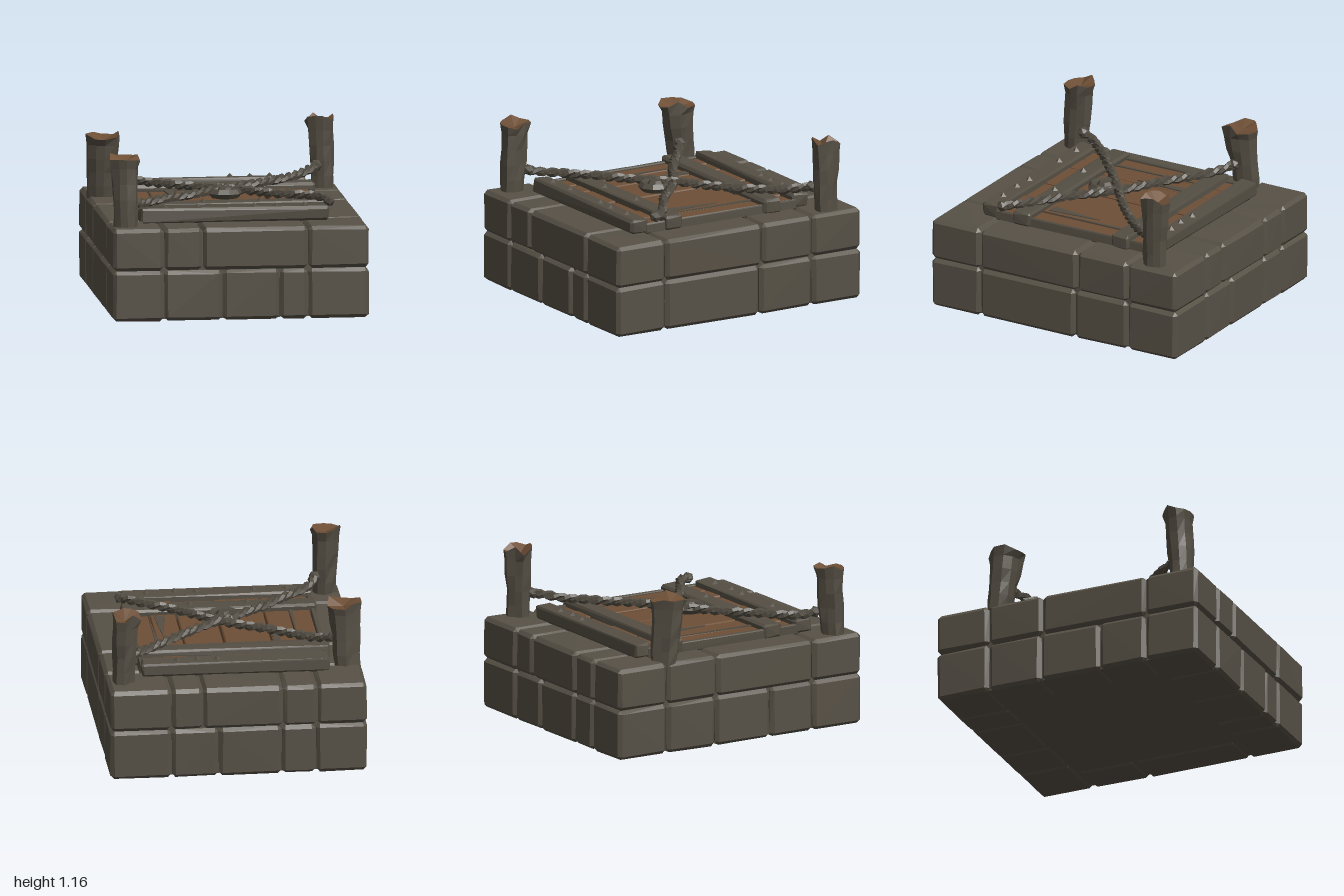
import * as THREE from 'three';
import { ConvexGeometry } from 'three/addons/geometries/ConvexGeometry.js';

// seeded random, 0..1
let seed = 7;
const rnd = () => {
  seed = (seed * 16807) % 2147483647;
  return seed / 2147483647;
};

const flat = (name, color) => {
  const m = new THREE.MeshStandardMaterial({ color, flatShading: true });
  m.name = name;
  return m;
};
const stone = flat('stone', 0x575146);
const greyWood = flat('weatheredWood', 0x544e43);
const brownWood = flat('brownWood', 0x6e4f36);
const rope = flat('rope', 0x504b41);

function add(parent, name, geometry, material, x = 0, y = 0, z = 0) {
  const mesh = new THREE.Mesh(geometry, material);
  mesh.name = name;
  mesh.position.set(x, y, z);
  parent.add(mesh);
  return mesh;
}

// chamfered block with slightly uneven corners, given by its extents
function block([x0, x1], [y0, y1], [z0, z1], c = 0.025, wobble = 0.006) {
  const lo = [x0, y0, z0], hi = [x1, y1, z1], points = [];
  for (let corner = 0; corner < 8; corner++) {
    for (let axis = 0; axis < 3; axis++) {
      const p = [0, 1, 2].map((i) => {
        const inset = (i === axis ? 0 : c) + rnd() * wobble;
        return corner & (1 << i) ? hi[i] - inset : lo[i] + inset;
      });
      points.push(new THREE.Vector3(...p));
    }
  }
  return new ConvexGeometry(points);
}

// two courses of stones around a filled core
function makeBase() {
  const base = new THREE.Group();
  base.name = 'stoneBase';
  add(base, 'core', new THREE.BoxGeometry(1.72, 0.61, 1.92), stone, 0, 0.32, 0);
  const courses = [
    { y: [0, 0.36], front: [-0.9, -0.54, -0.13, 0.27, 0.47, 0.9],
      back: [-0.9, -0.54, -0.3, 0.14, 0.47, 0.9],
      right: [-0.6, -0.17, 0.6], left: [-0.6, -0.2, 0.25, 0.6] },
    { y: [0.355, 0.655], front: [-0.9, -0.54, -0.27, 0.47, 0.9],
      back: [-0.9, -0.55, -0.31, 0.25, 0.47, 0.9],
      right: [-0.6, -0.19, 0.6], left: [-0.6, -0.19, 0.6] },
  ];
  for (const { y, front, back, right, left } of courses) {
    const spans = (list, fn) => list.slice(1).forEach((b, i) => fn([list[i], b]));
    spans(front, (x) => add(base, 'frontStone', block(x, y, [0.6, 1]), stone));
    spans(back, (x) => add(base, 'backStone', block(x, y, [-1, -0.6]), stone));
    spans(right, (z) => add(base, 'rightStone', block([0.6, 0.9], y, z), stone));
    spans(left, (z) => add(base, 'leftStone', block([-0.9, -0.6], y, z), stone));
  }
  return base;
}

// plank hatch with four cross boards
function makeHatch() {
  const hatch = new THREE.Group();
  hatch.name = 'hatch';
  const seams = [-0.64, -0.49, -0.31, 0.02, 0.3, 0.49, 0.64];
  seams.slice(1).forEach((b, i) => {
    add(hatch, 'plank', block([seams[i] + 0.004, b - 0.004], [0.63, 0.7 + rnd() * 0.012],
      [-0.62, 0.62], 0.008, 0.004), brownWood);
  });
  for (const s of [-1, 1]) {
    const x = s < 0 ? [-0.675, -0.635] : [0.63, 0.66];
    add(hatch, 'sideRail', block(x, [0.64, 0.72], [-0.62, 0.62], 0.008), greyWood);
  }
  const boards = [
    [-0.67, 0.655, -0.725, -0.585], [-0.7, 0.685, -0.485, -0.335],
    [-0.69, 0.685, 0.325, 0.475], [-0.675, 0.655, 0.585, 0.735],
  ];
  for (const [x0, x1, z0, z1] of boards) {
    add(hatch, 'crossBoard', block([x0, x1], [0.645, 0.755], [z0, z1], 0.014, 0.012), greyWood);
  }
  // raised nails
  for (const [x, z] of [[-0.27, 0.66], [0.13, 0.66], [0.28, 0.67], [0.48, 0.66], [-0.5, 0.66],
    [0.2, 0.41], [-0.2, 0.42], [0.12, -0.66], [0.4, -0.66], [0.26, -0.65]]) {
    add(hatch, 'nail', new THREE.ConeGeometry(0.03, 0.03, 4), greyWood, x, 0.762, z);
  }
  // weathered splinters lying on the planks
  for (const [x, z0, z1, w] of [[-0.35, -0.34, 0.06, 0.07], [0.42, 0.3, -0.1, 0.08],
    [0.49, -0.34, 0.33, 0.03], [-0.5, 0.33, -0.3, 0.025]]) {
    const s = new THREE.Shape([[x - w / 2, -z0], [x + w / 2, -z0], [x + w / 5, -z1]]
      .map((p) => new THREE.Vector2(...p)));
    const g = new THREE.ExtrudeGeometry(s, { depth: 0.008, bevelEnabled: false });
    add(hatch, 'splinter', g.rotateX(-Math.PI / 2), greyWood, 0, 0.707, 0);
  }
  return hatch;
}

// broken post: jagged top, lean, and a bare brown patch on the side facing `bare`
function makePost({ x, z, top, r0, r1, lean, bare }) {
  const sides = 10, rows = 5, h = top - 0.63;
  const noise = Array.from({ length: sides * (rows + 1) }, rnd);
  let g = new THREE.CylinderGeometry(1, 1, 1, sides, rows);
  const p = g.attributes.position;
  for (let i = 0; i < p.count; i++) {
    const t = p.getY(i) + 0.5, row = Math.round(t * rows);
    const a = Math.atan2(p.getZ(i), p.getX(i));
    const side = (Math.round((a / (2 * Math.PI)) * sides) + sides) % sides;
    const n = noise[row * sides + side];
    const centre = Math.hypot(p.getX(i), p.getZ(i)) < 0.1;
    const flute = side % 2 ? 0.9 : 1.06;
    const r = (r0 + (r1 - r0) * t * t) * flute * (0.9 + 0.2 * n);
    const drop = row === rows ? (centre ? 0.07 : 0.06 * n) : 0;
    p.setXYZ(i, p.getX(i) * r + lean[0] * t, t * h - drop, p.getZ(i) * r + lean[1] * t);
  }
  g = g.toNonIndexed();
  const q = g.attributes.position;
  for (let i = 0; i < q.count; i += 3) {
    const mid = (k) => (q[k](i) + q[k](i + 1) + q[k](i + 2)) / 3;
    const t = mid('getY') / h;
    const dx = mid('getX') - lean[0] * t, dz = mid('getZ') - lean[1] * t;
    const facing = (dx * bare[0] + dz * bare[1]) / Math.hypot(dx, dz);
    g.addGroup(i, 3, facing > 0.83 && t > 0.25 && t < 0.72 ? 1 : 0);
  }
  g.computeVertexNormals();
  const post = new THREE.Group();
  post.name = 'brokenPost';
  add(post, 'postTrunk', g, [greyWood, brownWood], x, 0.63, z);
  return post;
}

// two strands twisted around a path
function makeRope(points) {
  const group = new THREE.Group();
  group.name = 'twistedRope';
  const path = new THREE.CatmullRomCurve3(points.map((p) => new THREE.Vector3(...p)));
  const turns = path.getLength() / 0.16, steps = Math.ceil(turns * 6);
  for (const phase of [0, Math.PI]) {
    const strand = [];
    for (let i = 0; i <= steps; i++) {
      const t = i / steps, a = t * turns * 2 * Math.PI + phase;
      const d = path.getTangentAt(t);
      const side = new THREE.Vector3(-d.z, 0, d.x).normalize();
      strand.push(path.getPointAt(t).addScaledVector(side, Math.cos(a) * 0.016)
        .add(new THREE.Vector3(0, Math.sin(a) * 0.016, 0)));
    }
    const g = new THREE.TubeGeometry(new THREE.CatmullRomCurve3(strand), steps, 0.021, 5);
    add(group, 'strand', g, rope);
  }
  for (const end of [points[0], points[points.length - 1]]) {
    add(group, 'ropeKnot', new THREE.IcosahedronGeometry(0.043, 0), rope, ...end);
  }
  return group;
}

export function createModel() {
  const model = new THREE.Group();
  model.name = 'sealedHatch';
  model.add(makeBase(), makeHatch());

  const posts = [
    { x: -0.785, z: 0.83, top: 1.17, r0: 0.085, r1: 0.108, lean: [-0.005, -0.03], bare: [1, 0.1] },
    { x: -0.79, z: -0.56, top: 1.12, r0: 0.095, r1: 0.125, lean: [0.01, 0.05], bare: [0.8, 0.6] },
    { x: 0.79, z: -0.765, top: 1.165, r0: 0.08, r1: 0.105, lean: [-0.015, 0], bare: [0.1, 1] },
  ];
  posts.forEach((post) => model.add(makePost(post)));

  // crossed ropes
  model.add(makeRope([[-0.71, 0.82, -0.5], [-0.58, 0.785, -0.4], [-0.3, 0.775, -0.19],
    [0.02, 0.775, 0], [0.33, 0.775, 0.27], [0.6, 0.78, 0.45], [0.67, 0.765, 0.55]]));
  model.add(makeRope([[0.73, 0.815, -0.69], [0.58, 0.785, -0.5], [0.3, 0.78, -0.22],
    [0.03, 0.785, 0], [-0.22, 0.775, 0.2], [-0.5, 0.78, 0.45], [-0.66, 0.78, 0.62],
    [-0.71, 0.8, 0.73]]));

  // ring knot at the crossing
  const knot = new THREE.Group();
  knot.name = 'centreKnot';
  knot.position.set(-0.01, 0.765, 0.13);
  const ring = add(knot, 'knotRing', new THREE.TorusGeometry(0.088, 0.034, 5, 9), rope);
  ring.rotation.x = Math.PI / 2;
  add(knot, 'knotBoss', new THREE.CylinderGeometry(0.04, 0.08, 0.06, 6), rope, 0, 0.01, 0);
  model.add(knot);
  return model;
}
